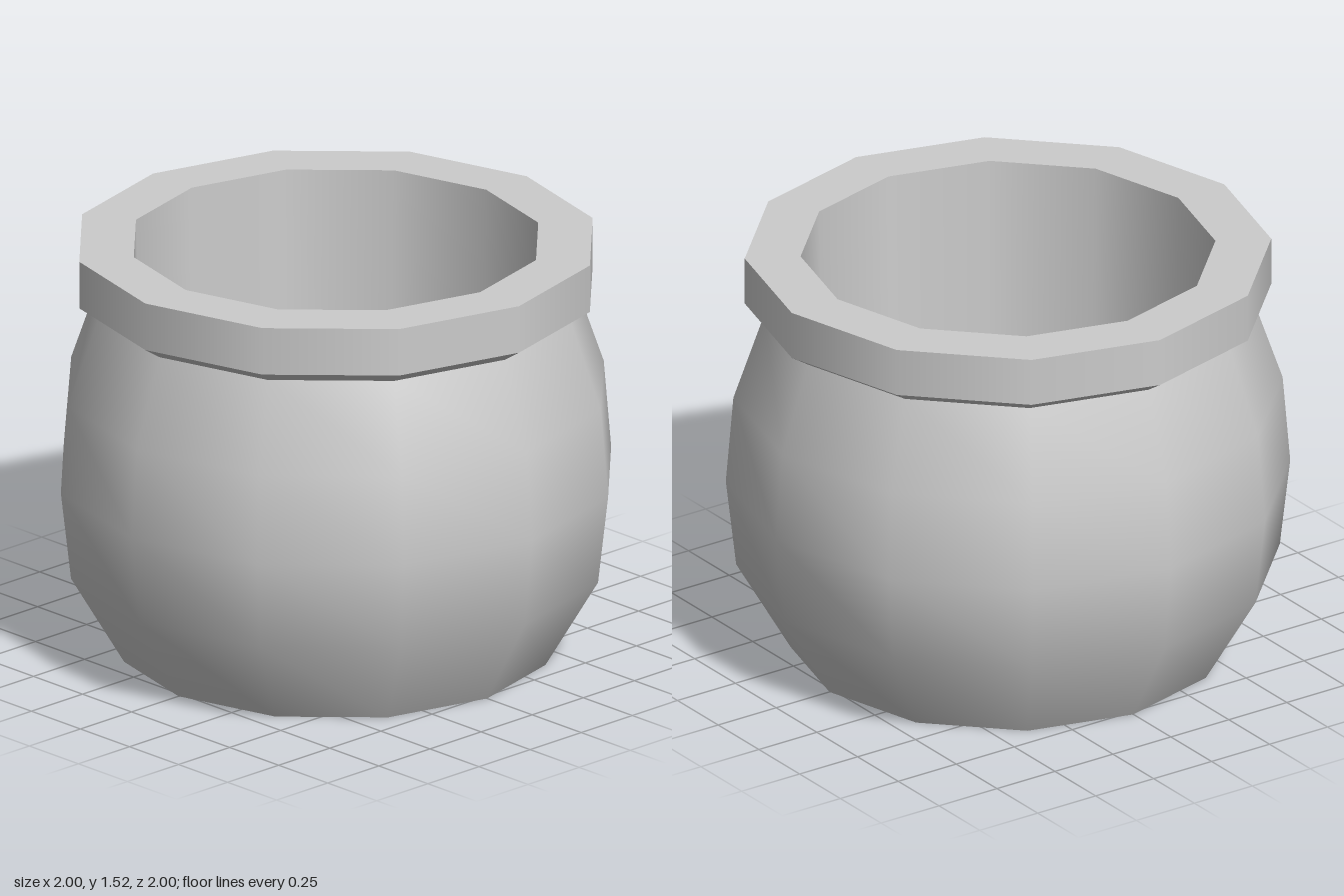
import * as THREE from 'three';

const SIDES = 12;

export function createModel() {
  const clay = new THREE.MeshStandardMaterial({ color: 0xcccccc });
  clay.name = 'grey clay';

  const pot = new THREE.Group();
  pot.name = 'pot';

  // Each band is its own lathe: smooth within a band, sharp between bands.
  function band(name, profile, parent) {
    const points = profile.map(([r, y]) => new THREE.Vector2(r, y));
    const mesh = new THREE.Mesh(new THREE.LatheGeometry(points, SIDES), clay);
    mesh.name = name;
    parent.add(mesh);
  }

  // Round belly and flat base
  band('base', [[0, 0], [0.77, 0]], pot);
  band('belly', [[0.77, 0], [0.963, 0.33], [1, 0.655], [0.973, 0.98], [0.863, 1.3]], pot);

  // Overhanging collar
  const rim = new THREE.Group();
  rim.name = 'rim';
  band('rimUnderside', [[0.863, 1.3], [0.933, 1.345]], rim);
  band('rimSide', [[0.933, 1.345], [0.933, 1.52]], rim);
  band('rimTop', [[0.933, 1.52], [0.735, 1.52]], rim);
  pot.add(rim);

  // Hollow inside, tapering slightly down to a flat floor
  band('innerWall', [[0.735, 1.52], [0.703, 0.25]], pot);
  band('innerFloor', [[0.703, 0.25], [0, 0.25]], pot);

  return pot;
}
